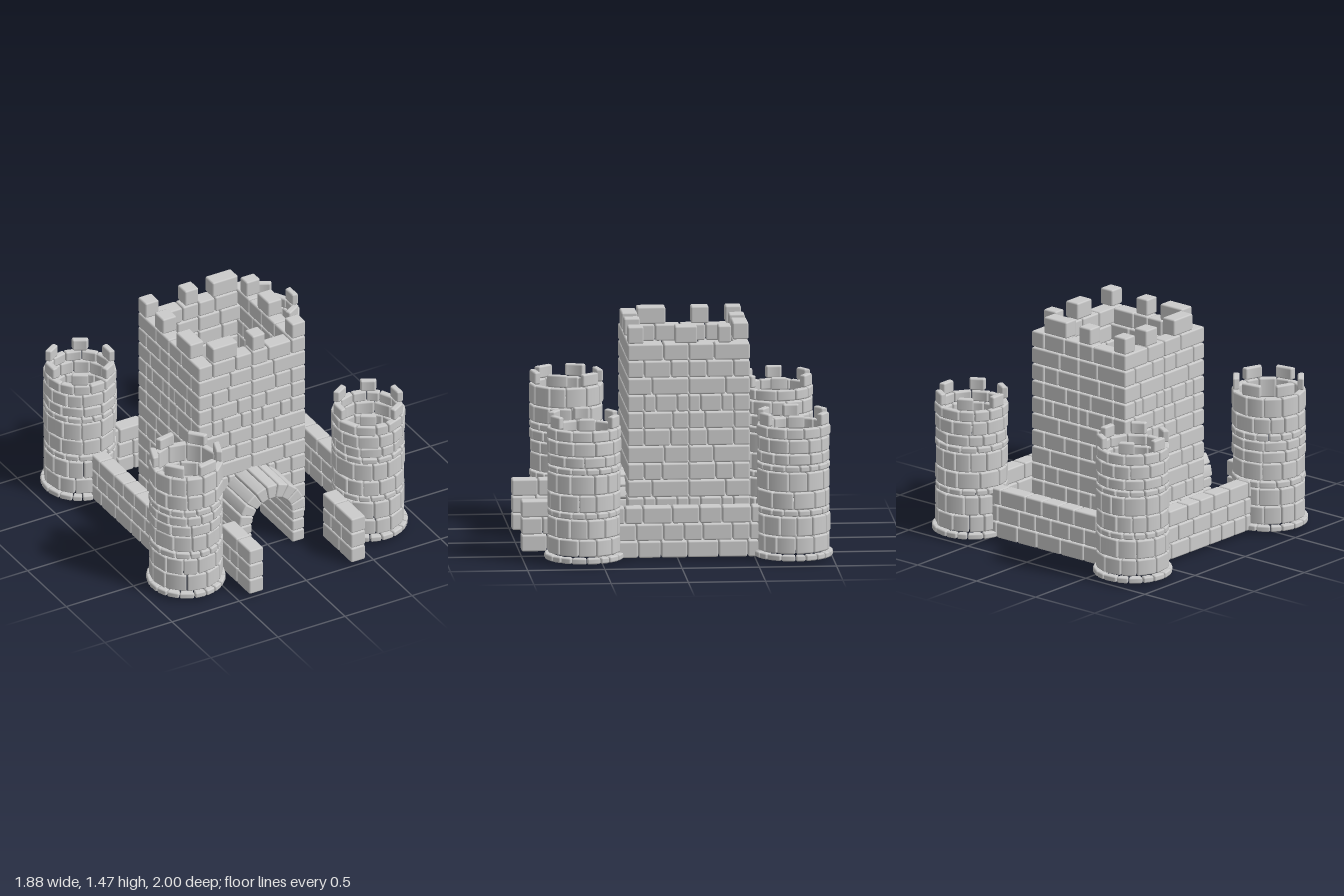
import * as THREE from 'three';
import { mergeGeometries } from 'three/addons/utils/BufferGeometryUtils.js';
import { RoundedBoxGeometry } from 'three/addons/geometries/RoundedBoxGeometry.js';

const GAP = 0.005;
const BEVEL = 0.011;
const ROW = 0.112; // course height of the straight walls
const BASE = 0.02;

let seed = 7;
const rand = () => (seed = (seed * 16807) % 2147483647) / 2147483647;

// Straight stone filling the given ranges, less a small joint
function block(x0, x1, y0, y1, z0, z1) {
  const g = new RoundedBoxGeometry(x1 - x0 - GAP, y1 - y0 - GAP, z1 - z0 - GAP, 1, BEVEL);
  return g.translate((x0 + x1) / 2, (y0 + y1) / 2, (z0 + z1) / 2);
}

// Wedge stone bent around the y axis
function wedge(r0, r1, y0, y1, a0, a1) {
  const g = new RoundedBoxGeometry(r1 - r0, y1 - y0 - GAP, (a1 - a0) * r1 - GAP, 1, BEVEL);
  const p = g.attributes.position, n = g.attributes.normal;
  for (let i = 0; i < p.count; i++) {
    const a = (a0 + a1) / 2 + p.getZ(i) / r1, c = Math.cos(a), s = Math.sin(a);
    const r = (r0 + r1) / 2 + p.getX(i);
    p.setXYZ(i, r * c, p.getY(i) + (y0 + y1) / 2, r * s);
    n.setXYZ(i, n.getX(i) * c - n.getZ(i) * s, n.getY(i), n.getX(i) * s + n.getZ(i) * c);
  }
  return g;
}

// Split a run into lengths proportional to the weights
function split(from, to, weights) {
  const sum = weights.reduce((a, b) => a + b, 0);
  let at = from;
  return weights.map(w => {
    const start = at;
    at += (to - from) * w / sum;
    return [start, at];
  });
}

// Low wall of three courses; runs along x or z
function curtainWall(axis, from, to, centre) {
  const stones = [];
  const count = Math.max(2, Math.round((to - from) / 0.17));
  for (let row = 0; row < 3; row++) {
    const weights = Array.from({ length: count + row % 2 }, () => 0.7 + 0.6 * rand());
    const y = BASE + row * ROW;
    for (const [a, b] of split(from, to, weights)) {
      stones.push(axis === 'x'
        ? block(a, b, y, y + ROW, centre - 0.055, centre + 0.055)
        : block(centre - 0.055, centre + 0.055, y, y + ROW, a, b));
    }
  }
  return mergeGeometries(stones);
}

// Round tower: wide foot, uneven courses, six merlons
function tower(levels, turn, merlonAngle) {
  const stones = [];
  const top = levels.length - 2;
  for (let row = 0; row < top; row++) {
    const y0 = levels[row], y1 = levels[row + 1];
    const thin = y1 - y0 < 0.055;
    const count = row === 0 ? 18 : thin ? 16 : 12;
    const outer = row === 0 ? 0.257 : 0.234 + 0.007 * rand();
    const start = rand() * Math.PI;
    const weights = Array.from({ length: count }, () => 0.75 + 0.5 * rand());
    for (const [a, b] of split(start, start + Math.PI * 2, weights)) {
      stones.push(wedge(row === 0 ? 0.205 : 0.193, outer, y0, y1, a, b));
    }
  }
  for (let i = 0; i < 6; i++) {
    const a = turn + i * Math.PI / 3;
    stones.push(wedge(0.193, 0.237, levels[top], levels[top + 1], a - merlonAngle / 2, a + merlonAngle / 2));
  }
  return mergeGeometries(stones);
}

// Square keep with a doorway in its front wall
function keep() {
  const stones = [];
  const X = 0.4, Z0 = -0.49, Z1 = 0.305, T = 0.108, ZM = (Z0 + Z1) / 2;
  const layouts = [[0.24, 0.16], [0.16, 0.24], [0.105, 0.19, 0.105], [0.235, 0.165]];
  for (let row = 0; row < 12; row++) {
    const y0 = BASE + row * ROW, y1 = y0 + ROW;
    const layout = layouts[(row * 3 + (row >> 2)) % 4];
    const halfDoor = row < 3 ? 0.2 : row === 3 ? 0.12 : 0;
    // Corners interlock: alternate rows run through
    const inset = row % 2 ? T : 0;
    for (const [a, b] of split(X - inset, 0, layout)) {
      for (const s of [-1, 1]) {
        const lo = Math.min(s * a, s * b), hi = Math.max(s * a, s * b);
        stones.push(block(lo, hi, y0, y1, Z0, Z0 + T));
        const inner = Math.max(b, halfDoor);
        if (a - inner > 0.03) {
          stones.push(block(Math.min(s * a, s * inner), Math.max(s * a, s * inner), y0, y1, Z1 - T, Z1));
        }
      }
    }
    const half = (Z1 - Z0) / 2 - (T - inset);
    for (const [a, b] of split(half, 0, layout)) {
      for (const s of [-1, 1]) {
        const lo = ZM + Math.min(s * a, s * b), hi = ZM + Math.max(s * a, s * b);
        stones.push(block(-X, -X + T, y0, y1, lo, hi), block(X - T, X, y0, y1, lo, hi));
      }
    }
  }
  return mergeGeometries(stones);
}

// Battlements of the keep, each side with its own rhythm
function keepMerlons() {
  const y0 = BASE + 12 * ROW, y1 = 1.48, stones = [];
  for (const [a, b] of [[-0.295, -0.105], [0, 0.1], [0.295, 0.4]]) stones.push(block(a, b, y0, y1, 0.197, 0.305));
  for (const [a, b] of [[-0.4, -0.295], [-0.105, 0], [0.1, 0.295]]) stones.push(block(a, b, y0, y1, -0.49, -0.382));
  for (const [a, b] of [[-0.15, 0], [-0.37, -0.28]]) stones.push(block(0.292, 0.4, y0, y1, a, b));
  for (const [a, b] of [[0, 0.19], [-0.28, -0.16]]) stones.push(block(-0.4, -0.292, y0, y1, a, b));
  return mergeGeometries(stones);
}

// Vaulted gate of full-depth stones
function gateArch() {
  const stones = [], spring = 0.24, z0 = 0.13, z1 = 0.565;
  for (const [a, b] of split(0, Math.PI, Array(9).fill(1))) {
    stones.push(wedge(0.147, 0.247, -z1, -z0, a, b).rotateX(-Math.PI / 2).translate(0, spring, 0));
  }
  for (const [y0, y1] of split(0, spring, [0.085, 0.085, 0.07])) {
    for (const s of [-1, 1]) stones.push(block(s * 0.195 - 0.047, s * 0.195 + 0.047, y0, y1, z0, z1));
  }
  return mergeGeometries(stones);
}

export function createModel() {
  const group = new THREE.Group();
  const stone = new THREE.MeshStandardMaterial({ color: 0xcccccc });
  const add = (name, geometry, x = 0, z = 0) => {
    const mesh = new THREE.Mesh(geometry, stone);
    mesh.name = name;
    mesh.position.set(x, 0, z);
    group.add(mesh);
  };

  add('keepWalls', keep());
  add('keepBattlements', keepMerlons());
  add('gateArch', gateArch());

  // Corner towers; the front right one is a little taller
  const low = [0.02, 0.065, 0.18, 0.31, 0.355, 0.47, 0.6, 0.645, 0.72, 0.815, 0.89, 0.975];
  const tall = [0.02, 0.065, 0.19, 0.31, 0.36, 0.48, 0.56, 0.63, 0.68, 0.79, 0.925, 1.01];
  add('frontLeftTower', tower(low, 0, 0.5), 0.685, 0.61);
  add('frontRightTower', tower(tall, 0.35, 0.62), -0.675, 0.615);
  add('backLeftTower', tower(low, 0, 0.5), 0.685, -0.745);
  add('backRightTower', tower(low, 0, 0.5), -0.68, -0.745);

  add('leftCurtainWall', curtainWall('z', -0.6, 0.545, 0.68));
  add('rightCurtainWall', curtainWall('z', -0.6, 0.545, -0.668));
  add('backCurtainWall', curtainWall('x', -0.595, 0.555, -0.745));
  add('leftGateWall', curtainWall('z', 0.615, 0.997, 0.392));
  add('rightGateWall', curtainWall('z', 0.615, 0.997, -0.367));
  return group;
}
